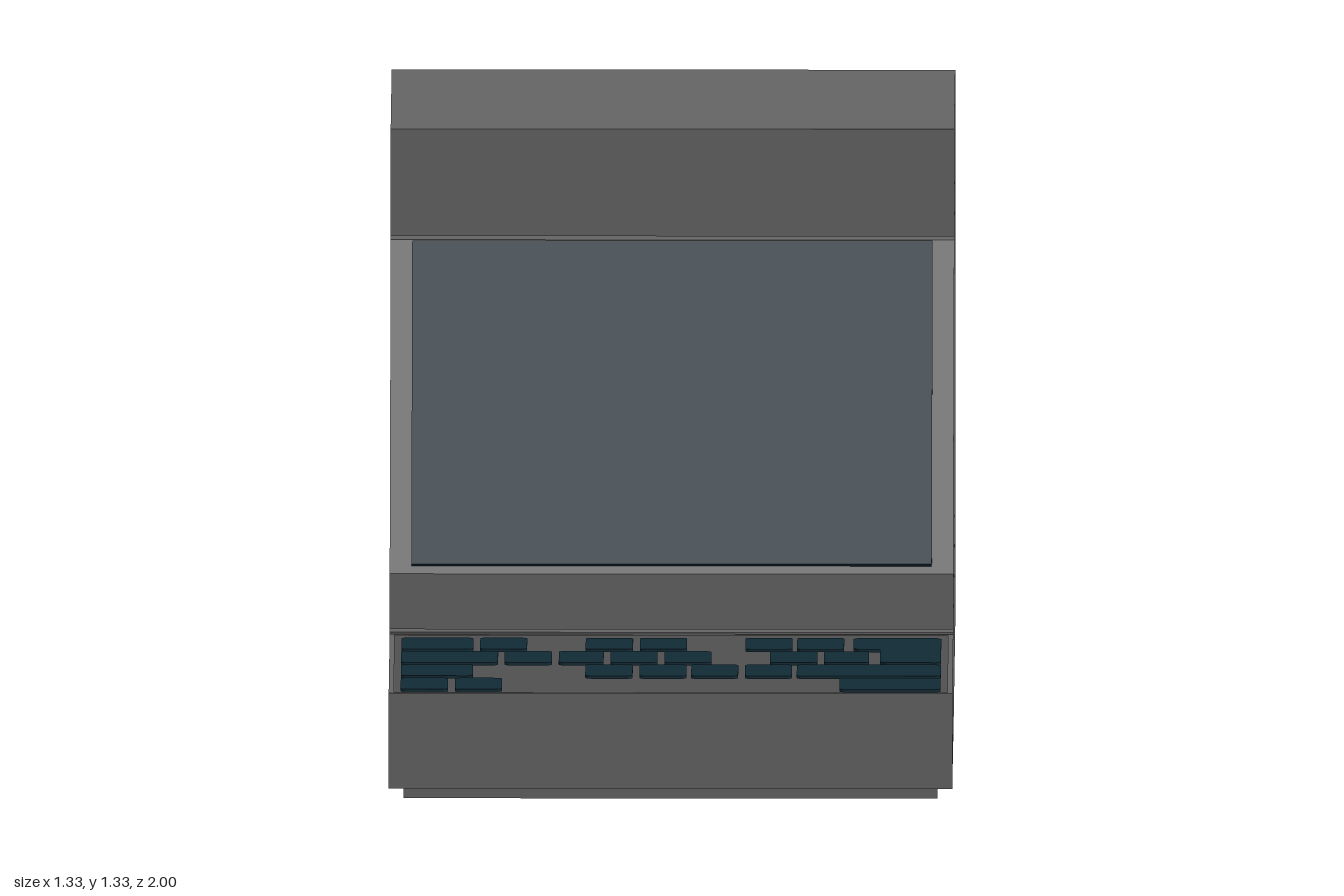
import * as THREE from 'three';
import { toCreasedNormals } from 'three/addons/utils/BufferGeometryUtils.js';

const W = 1.33;      // width of every block
const WALL = 0.135;  // wall around the underside recesses

export function createModel() {
  const grey = new THREE.MeshStandardMaterial({ color: 0x646464 });
  grey.name = 'casing grey';
  const blue = new THREE.MeshStandardMaterial({ color: 0x112a35 });
  blue.name = 'dark blue';

  const model = new THREE.Group();
  model.name = 'computerTerminal';

  const add = (name, geometry, material = grey, parent = model) => {
    const mesh = new THREE.Mesh(geometry, material);
    mesh.name = name;
    parent.add(mesh);
    return mesh;
  };
  const group = (name) => {
    const g = new THREE.Group();
    g.name = name;
    model.add(g);
    return g;
  };

  // Solid block given by its z and y ranges
  const block = (name, w, z0, z1, y0, y1, parent) => {
    const mesh = add(name, new THREE.BoxGeometry(w, y1 - y0, z1 - z0), grey, parent);
    mesh.position.set(0, (y0 + y1) / 2, (z0 + z1) / 2);
  };

  // Extrude a floor-plan shape upwards from y0 to y1
  const extrudeUp = (shape, y0, y1, curveSegments = 4) => {
    const g = new THREE.ExtrudeGeometry(shape, { depth: y1 - y0, bevelEnabled: false, curveSegments });
    return g.rotateX(-Math.PI / 2).translate(0, y0, 0);
  };

  const rect = (path, w, d) => path
    .moveTo(-w / 2, -d / 2).lineTo(w / 2, -d / 2).lineTo(w / 2, d / 2).lineTo(-w / 2, d / 2).closePath();

  // Rectangular frame with a rectangular opening
  const frame = (name, w, d, holeW, holeD, z, y0, y1, parent) => {
    const shape = new THREE.Shape();
    rect(shape, w, d);
    const hole = new THREE.Path();
    rect(hole, holeW, holeD);
    shape.holes.push(hole);
    add(name, extrudeUp(shape, y0, y1), grey, parent).position.z = z;
  };

  // Round pegs joining two stacked blocks
  const pegs = (y, rows) => {
    for (const z of rows) for (const x of [-0.333, 0.333]) {
      add('peg', new THREE.CylinderGeometry(0.2, 0.2, 0.05, 32)).position.set(x, y, z);
    }
  };

  // Base: hollow underneath, with a ring in the middle
  const base = group('base');
  block('baseTop', W, -1, 0.333, 0.13, 0.263, base);
  frame('baseWalls', W, 1.333, W - 2 * WALL, 1.333 - 2 * WALL, -0.333, 0, 0.13, base);
  const ringShape = new THREE.Shape().absarc(0, 0, 0.265, 0, Math.PI * 2);
  ringShape.holes.push(new THREE.Path().absarc(0, 0, 0.2, 0, Math.PI * 2, true));
  add('baseRing', toCreasedNormals(extrudeUp(ringShape, 0, 0.13, 16), 0.6), grey, base).position.z = -0.333;

  // Sloped body, profile drawn as (z, y)
  const profile = new THREE.Shape([
    [-1, 0.27], [0.333, 0.27], [0.333, 0.404], [-0.335, 1.066], [-1, 1.066],
  ].map(([z, y]) => new THREE.Vector2(-z, y)).reverse());
  const body = new THREE.ExtrudeGeometry(profile, { depth: W, bevelEnabled: false });
  body.translate(0, 0, -W / 2).rotateY(Math.PI / 2);
  add('slopedBody', body);

  // Top block
  block('topBlock', W, -1, -0.338, 1.074, 1.333);
  pegs(0.267, [0, -0.667]);
  pegs(1.07, [-0.667]);

  // Screen plate lying on the slope
  const screen = add('screen', new THREE.BoxGeometry(1.228, 0.908, 0.009), blue);
  screen.position.set(0, 0.744, 0.001);
  screen.rotation.x = -Math.PI / 4;

  // Keyboard: open tray on a shallow foot, with a raised floor over the recess
  const keyboard = group('keyboard');
  const kz = 0.67, recessW = 1.06, recessD = 0.39;
  frame('keyboardFoot', 1.26, 0.6, recessW, recessD, kz, 0, 0.03, keyboard);
  frame('trayFloor', W, 0.66, recessW, recessD, kz, 0.03, 0.038, keyboard);
  frame('trayWalls', W, 0.66, W - 0.024, 0.636, kz, 0.038, 0.26, keyboard);
  frame('recessWalls', recessW + 0.01, recessD + 0.01, recessW, recessD, kz, 0.038, 0.125, keyboard);
  block('recessTop', recessW + 0.01, kz - recessD / 2 - 0.005, kz + recessD / 2 + 0.005, 0.125, 0.131, keyboard);

  // Keys: thin rounded plates, [left x, right x] per row
  const rows = [
    [[-0.637, -0.467], [-0.451, -0.34], [-0.202, -0.09], [-0.074, 0.037], [0.175, 0.286], [0.297, 0.408]],
    [[-0.637, -0.408], [-0.393, -0.281], [-0.265, -0.159], [-0.143, -0.032], [-0.016, 0.095],
      [0.233, 0.345], [0.361, 0.467]],
    [[-0.637, -0.467], [-0.202, -0.09], [-0.074, 0.037], [0.048, 0.159], [0.175, 0.286], [0.297, 0.637]],
    [[-0.637, -0.525], [-0.509, -0.398], [0.398, 0.637]],
  ];
  const rowZ = (i) => 0.385 + i * 0.149;
  const keyDepth = 0.127, keyY = 0.254, r = 0.012;
  const addKey = (name, x0, x1, z0, z1) => {
    const s = new THREE.Shape();
    const a = -z1, b = -z0;
    s.moveTo(x0 + r, a).lineTo(x1 - r, a).quadraticCurveTo(x1, a, x1, a + r);
    s.lineTo(x1, b - r).quadraticCurveTo(x1, b, x1 - r, b);
    s.lineTo(x0 + r, b).quadraticCurveTo(x0, b, x0, b - r);
    s.lineTo(x0, a + r).quadraticCurveTo(x0, a, x0 + r, a);
    add(name, extrudeUp(s, keyY, keyY + 0.007), blue, keyboard);
  };
  rows.forEach((row, i) => row.forEach(([x0, x1]) => addKey('key', x0, x1, rowZ(i), rowZ(i) + keyDepth)));

  // L-shaped key spanning the first two rows
  const z1 = rowZ(0), z2 = z1 + keyDepth, z3 = rowZ(1) + keyDepth;
  const corner = new THREE.Shape([
    [0.43, z1 + r], [0.43, z2 - r], [0.43 + r, z2], [0.493, z2], [0.493, z3 - r], [0.493 + r, z3],
    [0.637 - r, z3], [0.637, z3 - r], [0.637, z1 + r], [0.637 - r, z1], [0.43 + r, z1],
  ].map(([x, z]) => new THREE.Vector2(x, -z)));
  add('cornerKey', extrudeUp(corner, keyY, keyY + 0.007), blue, keyboard);

  return model;
}
